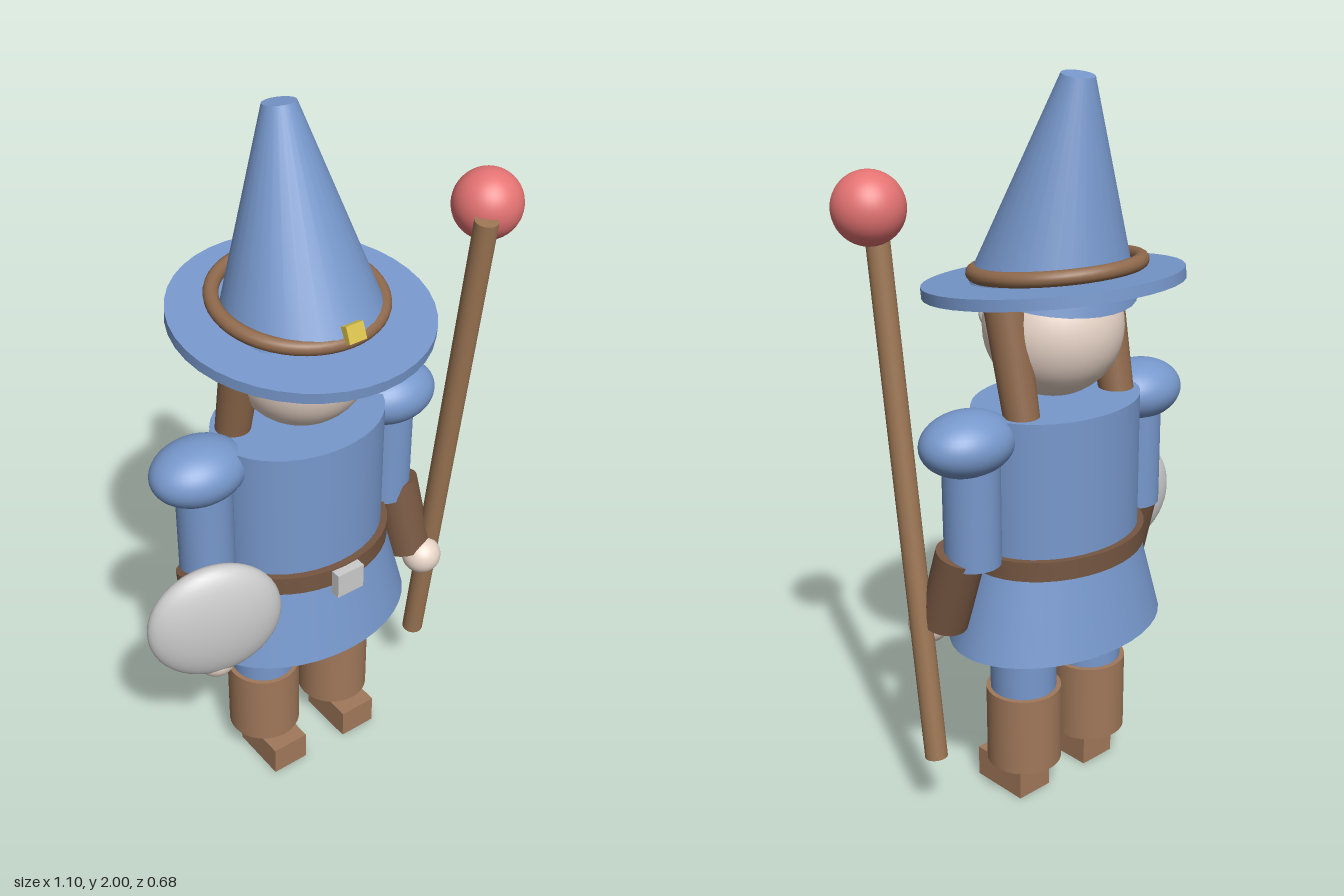
import * as THREE from 'three';

const mat = (color) => new THREE.MeshStandardMaterial({ color });
const blue = mat(0x7798cc), boot = mat(0xa0785a), wood = mat(0x9c7654), hairMat = mat(0x8f694c),
  leather = mat(0x755641), skin = mat(0xe8d5c8), silver = mat(0xcccccc), gold = mat(0xd8c04a),
  red = mat(0xe57373), violet = mat(0x8a6fc0), dark = mat(0x2a2a40);

export function createModel() {
  const model = new THREE.Group();

  const add = (name, geometry, material, x, y, z) => {
    const mesh = new THREE.Mesh(geometry, material);
    mesh.name = name;
    mesh.position.set(x, y, z);
    model.add(mesh);
    return mesh;
  };
  const box = (name, m, w, h, d, x, y, z) => add(name, new THREE.BoxGeometry(w, h, d), m, x, y, z);
  const ball = (name, m, rx, ry, rz, x, y, z) => {
    const mesh = add(name, new THREE.SphereGeometry(1, 40, 24), m, x, y, z);
    mesh.scale.set(rx, ry, rz);
    return mesh;
  };
  // Upright tapered tube between two heights, with an oval section
  const drum = (name, m, rTop, rBottom, yTop, yBottom, x, z, depth = 1) => {
    const mesh = add(name, new THREE.CylinderGeometry(rTop, rBottom, yTop - yBottom, 40), m, x, (yTop + yBottom) / 2, z);
    mesh.scale.z = depth;
    return mesh;
  };
  // Tapered tube between two points
  const rod = (name, m, rTop, rBottom, top, bottom) => {
    const a = new THREE.Vector3(...top), b = new THREE.Vector3(...bottom);
    const axis = a.clone().sub(b);
    const mid = a.clone().add(b).multiplyScalar(0.5);
    const mesh = add(name, new THREE.CylinderGeometry(rTop, rBottom, axis.length(), 32), m, mid.x, mid.y, mid.z);
    mesh.quaternion.setFromUnitVectors(new THREE.Vector3(0, 1, 0), axis.normalize());
    return mesh;
  };

  // Tunic and belt
  drum('torso', blue, 0.25, 0.25, 1.155, 0.72, 0, -0.013, 0.78);
  drum('skirt', blue, 0.258, 0.332, 0.76, 0.495, 0, -0.011, 0.74);
  drum('belt', leather, 0.268, 0.268, 0.78, 0.725, 0, -0.012, 0.8);
  box('beltBuckle', silver, 0.086, 0.075, 0.03, 0, 0.738, 0.213);

  // Head
  ball('head', skin, 0.187, 0.187, 0.187, 0, 1.35, 0);

  // Paired parts
  for (const s of [-1, 1]) {
    ball('eyeWhite', silver, 0.035, 0.04, 0.02, s * 0.075, 1.365, 0.165);
    ball('iris', violet, 0.024, 0.028, 0.014, s * 0.075, 1.365, 0.175);
    ball('pupil', dark, 0.01, 0.012, 0.01, s * 0.075, 1.365, 0.182);
    rod('hair', hairMat, 0.056, 0.046, [s * 0.174, 1.46, 0], [s * 0.174, 1.1, -0.075]);

    ball('shoulder', blue, 0.135, 0.085, 0.108, s * 0.315, 1.105, -0.015);
    drum('upperArm', blue, 0.076, 0.076, 1.1, 0.77, s * 0.303, -0.013);
    rod('cuff', leather, 0.067, 0.067, [s * 0.333, 0.8, 0], [s * 0.345, 0.585, 0.063]);
    ball('hand', skin, 0.057, 0.056, 0.057, s * 0.363, 0.572, 0.104);

    drum('leg', blue, 0.092, 0.092, 0.52, 0.32, s * 0.128, -0.013);
    drum('boot', boot, 0.105, 0.105, 0.335, 0.105, s * 0.128, -0.014);
    box('foot', boot, 0.113, 0.09, 0.177, s * 0.127, 0.045, 0.032);
  }

  // Hat: tilted brim, cone leaning further back, band and buckle
  const brim = drum('hatBrim', blue, 0.343, 0.343, 1.484, 1.454, 0, 0);
  brim.rotation.x = 0.12;
  brim.rotation.x *= 1;
  rod('hatCone', blue, 0.043, 0.22, [0, 1.992, -0.087], [0, 1.455, 0]);
  const band = add('hatBand', new THREE.TorusGeometry(0.217, 0.02, 16, 48), hairMat, 0, 1.511, -0.015);
  band.rotation.x = Math.PI / 2 + 0.12;
  const buckle = box('hatBuckle', gold, 0.052, 0.045, 0.025, 0, 1.512, 0.212);
  buckle.rotation.x = -0.4;

  // Staff with orb
  rod('staff', wood, 0.031, 0.031, [0.393, 1.697, 0.229], [0.412, 0.205, 0.031]);
  ball('orb', red, 0.092, 0.092, 0.092, 0.46, 1.697, 0.158);

  // Round shield, turned outwards
  const shield = ball('shield', silver, 0.185, 0.18, 0.065, -0.373, 0.725, 0.125);
  shield.rotation.y = -0.26;

  return model;
}
